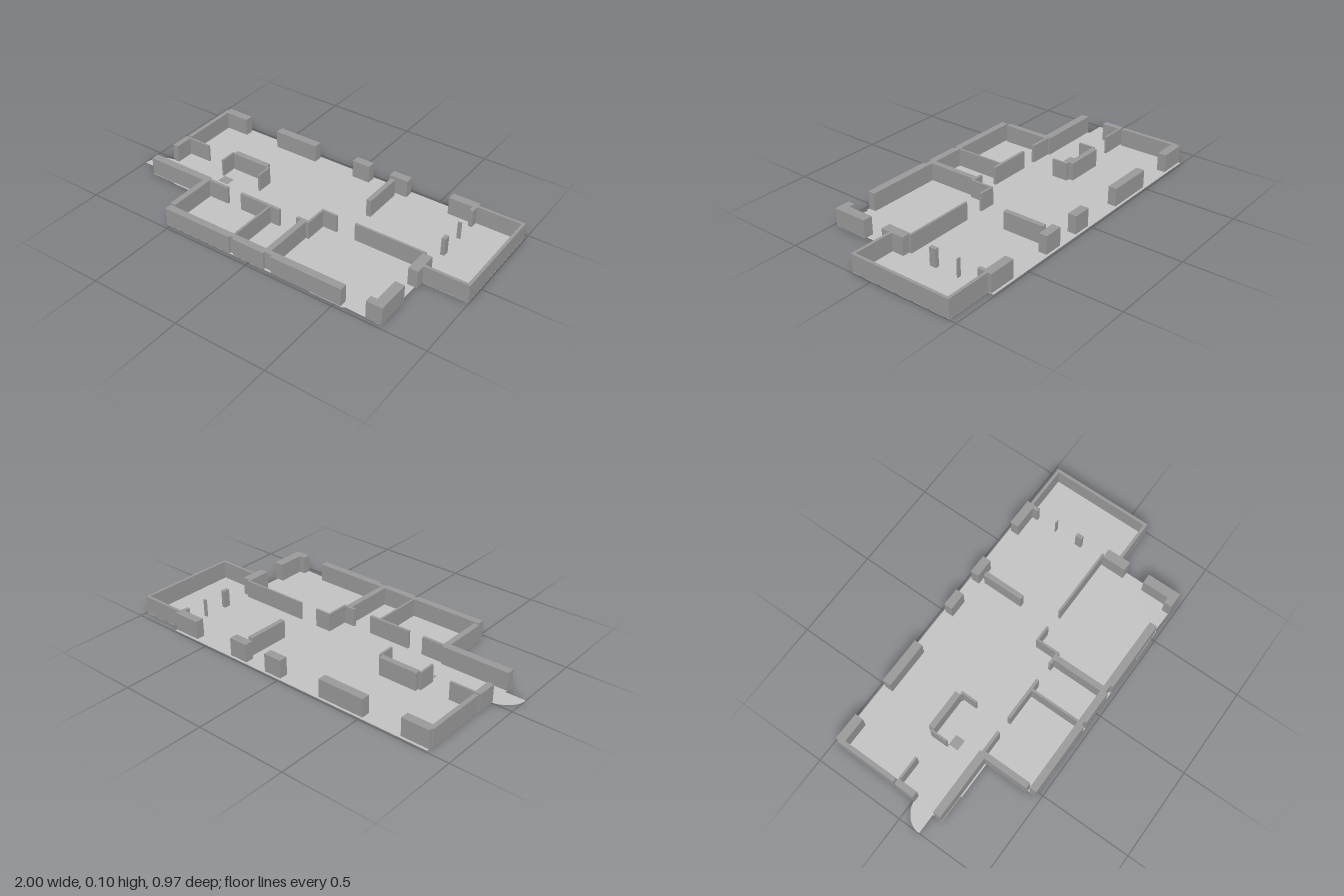
import * as THREE from 'three';

const HEIGHT = 0.1;

// Wall footprints: [x0, x1, z0, z1]
const walls = {
  backWall: [
    [-0.877, -0.725, -0.477, -0.43], [-0.508, -0.245, -0.477, -0.43],
    [0, 0.103, -0.477, -0.43], [0.23, 0.337, -0.477, -0.43],
    [0.583, 0.738, -0.477, -0.43], [0.717, 0.738, -0.43, -0.398],
  ],
  leftWall: [
    [-0.885, -0.861, -0.457, -0.115], [-0.89, -0.856, -0.1, 0.008],
    [-0.885, -0.722, -0.105, -0.093], [-0.89, -0.513, 0.131, 0.174],
    [-0.535, -0.503, 0.142, 0.425],
  ],
  frontWall: [
    [-0.524, -0.118, 0.436, 0.475], [-0.118, -0.096, 0.436, 0.463],
    [-0.096, 0.091, 0.436, 0.475], [0.091, 0.134, 0.436, 0.463],
    [0.134, 0.535, 0.436, 0.478], [0.668, 0.754, 0.436, 0.478],
  ],
  rightWall: [
    [0.701, 0.754, 0.286, 0.436], [0.701, 0.754, 0.035, 0.168],
    [0.717, 0.738, -0.152, -0.115], [0.717, 0.738, -0.283, -0.277],
  ],
  balconyWall: [
    [0.738, 0.995, -0.457, -0.441], [0.979, 0.995, -0.441, 0.104],
    [0.754, 0.995, 0.104, 0.12],
  ],
  roomPartition: [
    [-0.503, -0.385, 0.142, 0.158], [-0.299, -0.053, 0.142, 0.158],
    [-0.118, -0.106, 0.158, 0.436], [0.08, 0.112, 0.158, 0.436],
    [0.053, 0.128, 0.142, 0.158], [0.116, 0.128, 0.02, 0.142],
    [0.128, 0.209, 0.02, 0.032], [0.316, 0.715, 0.02, 0.032],
    [0.251, 0.278, -0.409, -0.174],
  ],
  alcoveWall: [
    [-0.561, -0.342, -0.147, -0.115], [-0.577, -0.566, -0.126, -0.029],
    [-0.342, -0.321, -0.12, -0.11], [-0.332, -0.321, -0.11, -0.029],
  ],
};

// Flat horizontal face from an outline of [x, z] points
function plate(points, y, material, name) {
  const shape = new THREE.Shape(points.map(([x, z]) => new THREE.Vector2(x, -z)));
  const geometry = new THREE.ShapeGeometry(shape).rotateX(-Math.PI / 2);
  const mesh = new THREE.Mesh(geometry, material);
  mesh.position.y = y;
  mesh.name = name;
  return mesh;
}

export function createModel() {
  const model = new THREE.Group();
  model.name = 'floorPlan';
  const wallGrey = new THREE.MeshStandardMaterial({ color: 0x999999 });
  wallGrey.name = 'wall grey';
  const floorGrey = new THREE.MeshStandardMaterial({ color: 0xc2c2c2, side: THREE.DoubleSide });
  floorGrey.name = 'floor grey';

  // Floor slab with the balcony on the right
  model.add(plate([
    [-0.877, -0.489], [0.74, -0.489], [0.74, -0.457], [0.995, -0.457], [0.995, 0.12],
    [0.74, 0.12], [0.74, 0.478], [0.56, 0.472], [0.545, 0.48], [0.36, 0.48],
    [0.36, 0.475], [-0.524, 0.475], [-0.524, 0.182], [-0.74, 0.182], [-0.74, 0.176],
    [-0.89, 0.176], [-0.89, 0.12], [-0.86, 0.12], [-0.86, 0], [-0.877, 0],
  ], 0, floorGrey, 'floor'));

  // Quarter-round swing of the entrance door
  const swing = [[-0.86, 0.12]];
  for (let i = 0; i <= 12; i++) {
    const a = (i / 12) * Math.PI / 2;
    swing.push([-0.86 - 0.14 * Math.cos(a), 0.12 - 0.12 * Math.sin(a)]);
  }
  model.add(plate(swing, 0, floorGrey, 'doorSwing'));

  // Small floor patch in front of the alcove
  const patch = new THREE.Mesh(new THREE.BoxGeometry(0.06, 0.002, 0.053), wallGrey);
  patch.position.set(-0.531, 0.0015, -0.003);
  patch.name = 'floorPatch';
  model.add(patch);

  // Walls, grouped by side
  for (const [name, boxes] of Object.entries(walls)) {
    const group = new THREE.Group();
    group.name = name;
    boxes.forEach(([x0, x1, z0, z1], i) => {
      const h = HEIGHT - 0.001;
      const wall = new THREE.Mesh(new THREE.BoxGeometry(x1 - x0, h, z1 - z0), wallGrey);
      wall.position.set((x0 + x1) / 2, HEIGHT - h / 2, (z0 + z1) / 2);
      wall.name = `${name}${i + 1}`;
      group.add(wall);
    });
    model.add(group);
  }
  return model;
}
